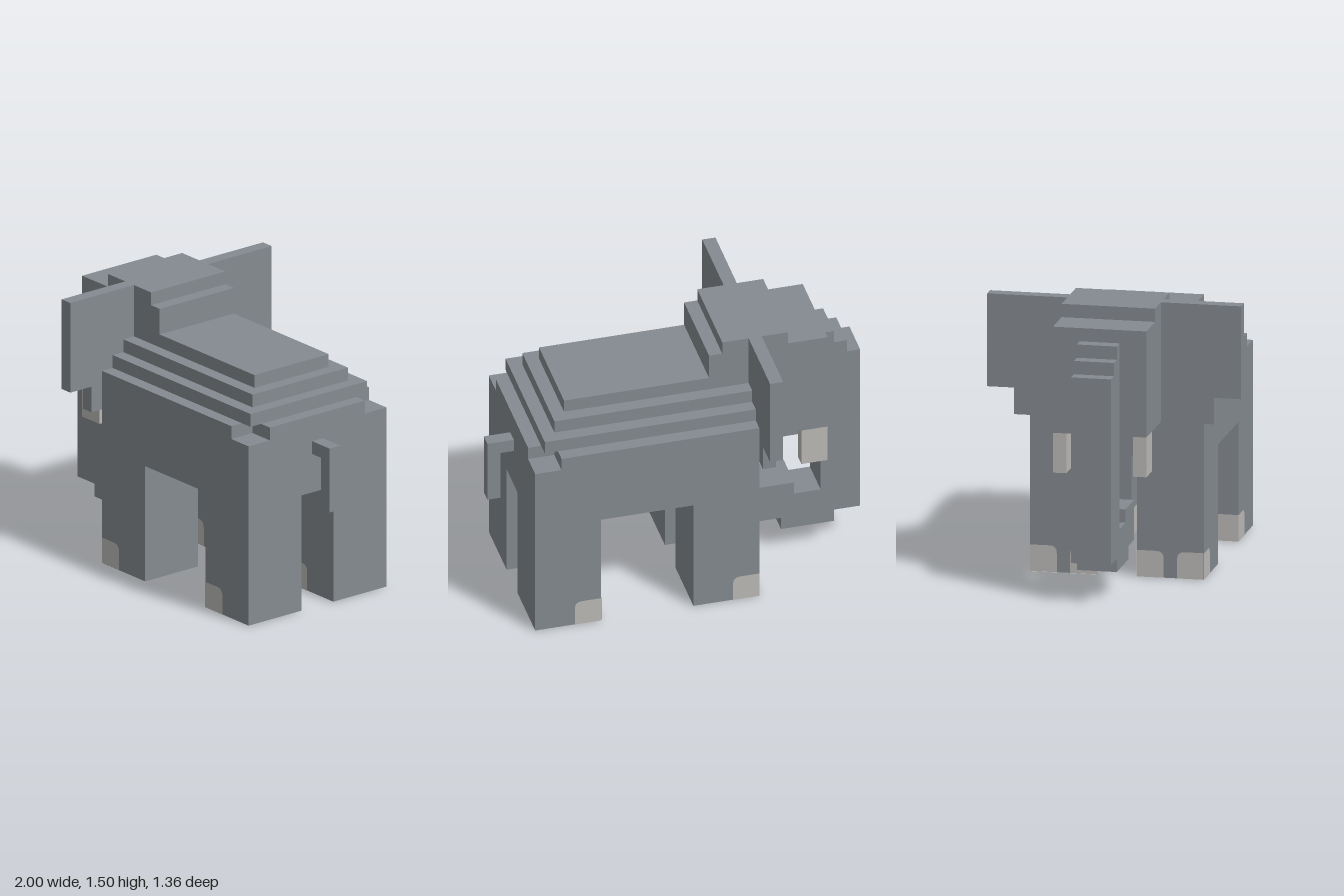
import * as THREE from 'three';

const U = 1 / 14; // one building block

export function createModel() {
  const skin = new THREE.MeshStandardMaterial({ color: 0x858b91 });
  skin.name = 'grey skin';
  const ivory = new THREE.MeshStandardMaterial({ color: 0xbcbbb8, side: THREE.DoubleSide });
  ivory.name = 'ivory';

  const model = new THREE.Group();
  model.name = 'elephant';

  const group = (name) => {
    const g = new THREE.Group();
    g.name = name;
    model.add(g);
    return g;
  };

  // Box given by its limits in blocks
  const block = (parent, name, x0, x1, y0, y1, z0, z1, material = skin) => {
    const geo = new THREE.BoxGeometry((x1 - x0) * U, (y1 - y0) * U, (z1 - z0) * U);
    const mesh = new THREE.Mesh(geo, material);
    mesh.name = name;
    mesh.position.set((x0 + x1) * U / 2, (y0 + y1) * U / 2, (z0 + z1) * U / 2);
    parent.add(mesh);
  };
  // Box centred on z = 0
  const mid = (parent, name, x0, x1, y0, y1, half) =>
    block(parent, name, x0, x1, y0, y1, -half, half);
  // Two boxes mirrored in z
  const pair = (parent, name, x0, x1, y0, y1, z0, z1, material) => {
    block(parent, name, x0, x1, y0, y1, z0, z1, material);
    block(parent, name, x0, x1, y0, y1, -z1, -z0, material);
  };

  // Body with stepped back
  const body = group('body');
  mid(body, 'trunkOfBody', -5, 12, 9, 14, 6.5);
  mid(body, 'shoulderLayer', -5, 10, 14, 15, 6.5);
  mid(body, 'rumpLayer', 10, 12, 14, 15, 4.5);
  mid(body, 'backLayerLow', -5, 11, 15, 16, 5.5);
  mid(body, 'backLayerMiddle', -5, 10, 16, 17, 4.5);
  mid(body, 'backLayerTop', -5, 9, 17, 18, 3.5);

  // Head, neck and jaw
  const head = group('head');
  mid(head, 'skull', -11, -5, 12, 20, 3.5);
  mid(head, 'neck', -5, -2, 18, 20, 3.5);
  mid(head, 'crown', -8, -3, 20, 21, 3.5);
  mid(head, 'jaw', -9, -5, 11, 12, 2.5);

  // Ears
  const ears = group('ears');
  pair(ears, 'earFlap', -6, -5, 14, 21, 3.5, 9.5);
  pair(ears, 'earLobe', -6, -5, 12, 14, 3.5, 7.5);

  // Trunk with curled tip
  const trunk = group('trunk');
  mid(trunk, 'trunkColumn', -14, -11, 3, 17, 1.5);
  mid(trunk, 'trunkStepLow', -13, -11, 17, 18, 1.5);
  mid(trunk, 'trunkStepHigh', -12, -11, 18, 19, 1.5);
  mid(trunk, 'trunkBend', -12, -8, 2, 3, 1.5);
  mid(trunk, 'trunkCurl', -11, -6, 3, 5, 1.5);
  mid(trunk, 'trunkTip', -9, -6, 5, 6, 1.5);

  // Tusks
  pair(group('tusks'), 'tusk', -11, -9, 9, 12, 2.5, 3.5, ivory);

  // Tail
  const tail = group('tail');
  mid(tail, 'tailRoot', 12, 14, 12, 13, 0.5);
  mid(tail, 'tailHang', 13, 14, 8, 12, 0.5);

  // Toenail outline: a square with one rounded corner
  const s = 2 * U, r = 0.04;
  const outline = new THREE.Shape();
  outline.moveTo(0, 0);
  outline.lineTo(s, 0);
  outline.lineTo(s, s - r);
  outline.quadraticCurveTo(s, s, s - r, s);
  outline.lineTo(0, s);
  const plate = new THREE.ShapeGeometry(outline, 4);
  const gap = 0.002;

  // Three plates wrapping the lower corner of a leg; dir points into the leg
  const toenail = (parent, x, z, dir) => {
    const nail = new THREE.Group();
    nail.name = 'toenail';
    const side = new THREE.Mesh(plate, ivory);
    side.name = 'nailSide';
    side.position.z = -gap * dir;
    const front = new THREE.Mesh(plate, ivory);
    front.name = 'nailFront';
    front.rotation.y = -dir * Math.PI / 2;
    front.position.x = -gap;
    const sole = new THREE.Mesh(plate, ivory);
    sole.name = 'nailSole';
    sole.rotation.x = dir * Math.PI / 2;
    sole.position.y = -gap;
    nail.add(side, front, sole);
    nail.position.set(x * U, 0, z * U);
    parent.add(nail);
  };

  // Legs, each with an outer and an inner toenail
  for (const [name, x] of [['frontLeg', -5], ['hindLeg', 7]]) {
    for (const m of [1, -1]) {
      const leg = group(name);
      block(leg, name + 'Column', x, x + 5, 0, 9, m > 0 ? 1.5 : -6.5, m > 0 ? 6.5 : -1.5);
      toenail(leg, x, 6.5 * m, -m);
      toenail(leg, x, 1.5 * m, m);
    }
  }

  return model;
}
